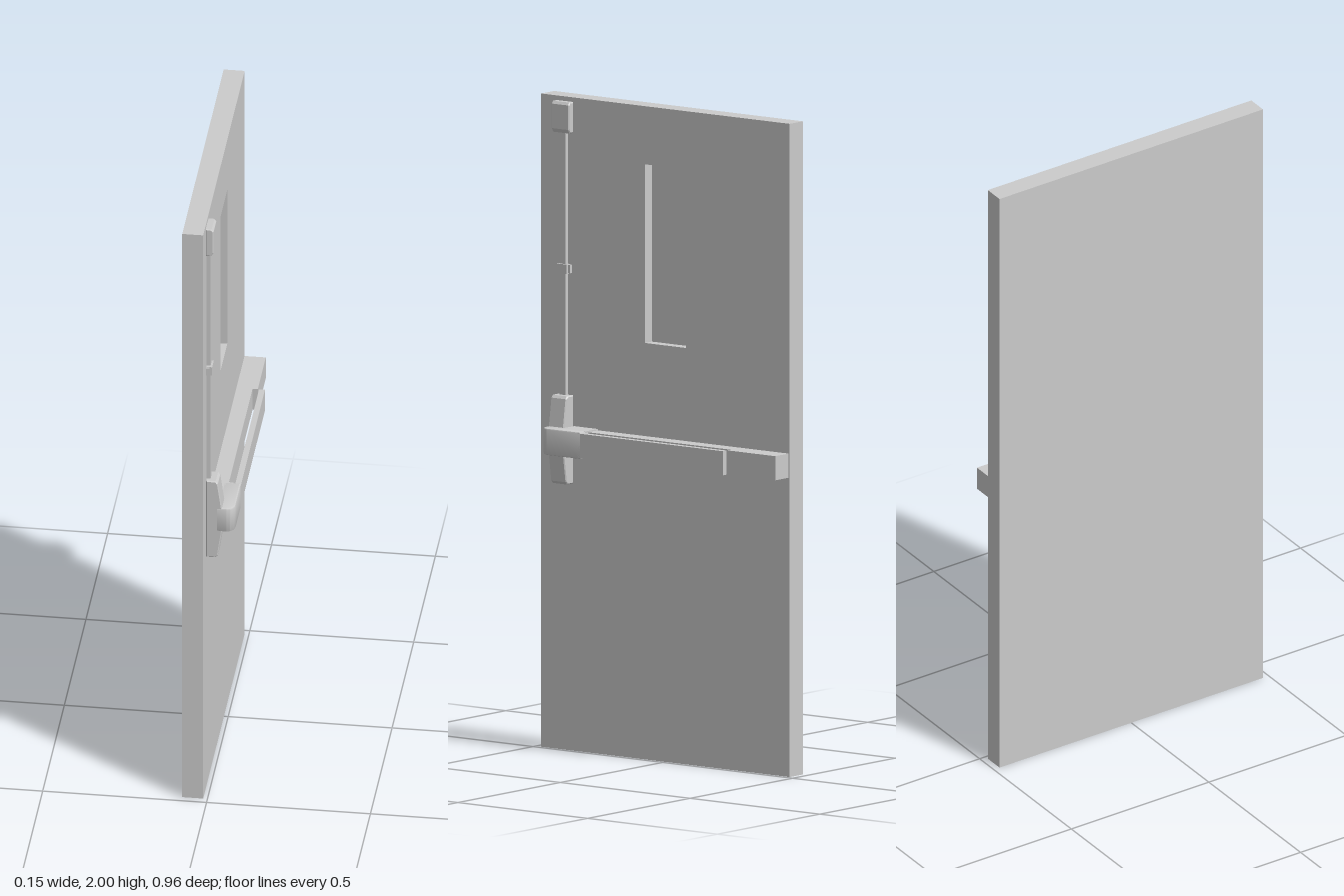
import * as THREE from 'three';
import { toCreasedNormals } from 'three/addons/utils/BufferGeometryUtils.js';

export function createModel() {
  const model = new THREE.Group();
  const material = new THREE.MeshStandardMaterial({ color: 0xcccccc });
  const FACE = -0.013, BACK = -0.077; // the two faces of the slab

  const add = (name, geometry) => {
    const mesh = new THREE.Mesh(geometry, material);
    mesh.name = name;
    model.add(mesh);
  };

  // Box from its lower and upper limits
  const box = (name, x0, x1, y0, y1, z0, z1) =>
    add(name, new THREE.BoxGeometry(x1 - x0, y1 - y0, z1 - z0)
      .translate((x0 + x1) / 2, (y0 + y1) / 2, (z0 + z1) / 2));

  // Side profile in x, y drawn out along z with small bevels
  const sideProfile = (name, points, z0, z1, bevel) => {
    const shape = new THREE.Shape(points.map(([x, y]) => new THREE.Vector2(x, y)));
    add(name, new THREE.ExtrudeGeometry(shape, {
      depth: z1 - z0 - 2 * bevel, bevelEnabled: true, bevelSize: bevel,
      bevelOffset: -bevel, bevelThickness: bevel, bevelSegments: 1,
    }).translate(0, 0, z0 + bevel));
  };

  const rect = (Type, w, y0, y1) => new Type([
    new THREE.Vector2(-w, y0), new THREE.Vector2(w, y0),
    new THREE.Vector2(w, y1), new THREE.Vector2(-w, y1),
  ]);

  // Door slab with a window opening, closed by a recessed panel
  const slab = rect(THREE.Shape, 0.479, 0, 2);
  slab.holes.push(rect(THREE.Path, 0.079, 1.275, 1.822));
  add('doorSlab', new THREE.ExtrudeGeometry(slab, { depth: FACE - BACK, bevelEnabled: false })
    .rotateY(Math.PI / 2).translate(BACK, 0, 0));
  box('windowPanel', BACK, -0.047, 1.275, 1.822, -0.079, 0.079);

  // Horizontal rail, its end cap and the push bar standing off it
  box('rail', FACE, 0.036, 0.916, 0.99, -0.475, 0.35);
  box('railEndCap', 0.036, 0.052, 0.916, 0.99, -0.475, -0.29);
  box('pushBar', 0.056, 0.074, 0.916, 0.99, -0.29, 0.27);

  // Arm cover wrapping round the end of the rail
  box('armBase', FACE, 0.05, 0.912, 0.994, 0.26, 0.352);
  const arm = new THREE.Shape();
  arm.moveTo(0.02, 0.26);
  arm.lineTo(0.074, 0.26);
  arm.lineTo(0.074, 0.387);
  arm.absarc(0.046, 0.387, 0.028, 0, Math.PI / 2, false);
  arm.lineTo(0.02, 0.415);
  arm.closePath();
  const armGeometry = new THREE.ExtrudeGeometry(arm, {
    depth: 0.072, curveSegments: 10, bevelEnabled: true, bevelSize: 0.005,
    bevelOffset: -0.005, bevelThickness: 0.005, bevelSegments: 2,
  }).rotateX(Math.PI / 2).translate(0, 0.989, 0);
  add('armCover', toCreasedNormals(armGeometry, 0.5));

  // Upright lock housing, tapered towards both ends
  sideProfile('lockHousing', [
    [FACE, 0.818], [0.016, 0.818], [0.023, 0.826], [0.036, 0.916],
    [0.036, 0.99], [0.023, 1.08], [0.016, 1.088], [FACE, 1.088],
  ], 0.354, 0.414, 0.003);

  // Vertical rod, its guide and the top latch
  box('rod', FACE, -0.001, 1.08, 1.9, 0.376, 0.398);
  box('rodGuideBase', FACE, -0.003, 1.462, 1.487, 0.36, 0.413);
  box('rodGuide', FACE, 0.005, 1.46, 1.489, 0.367, 0.407);
  sideProfile('topLatch', [
    [FACE, 1.891], [0.004, 1.891], [0.011, 1.903], [0.011, 1.978],
    [0.005, 1.986], [FACE, 1.986],
  ], 0.354, 0.422, 0.003);

  return model;
}
